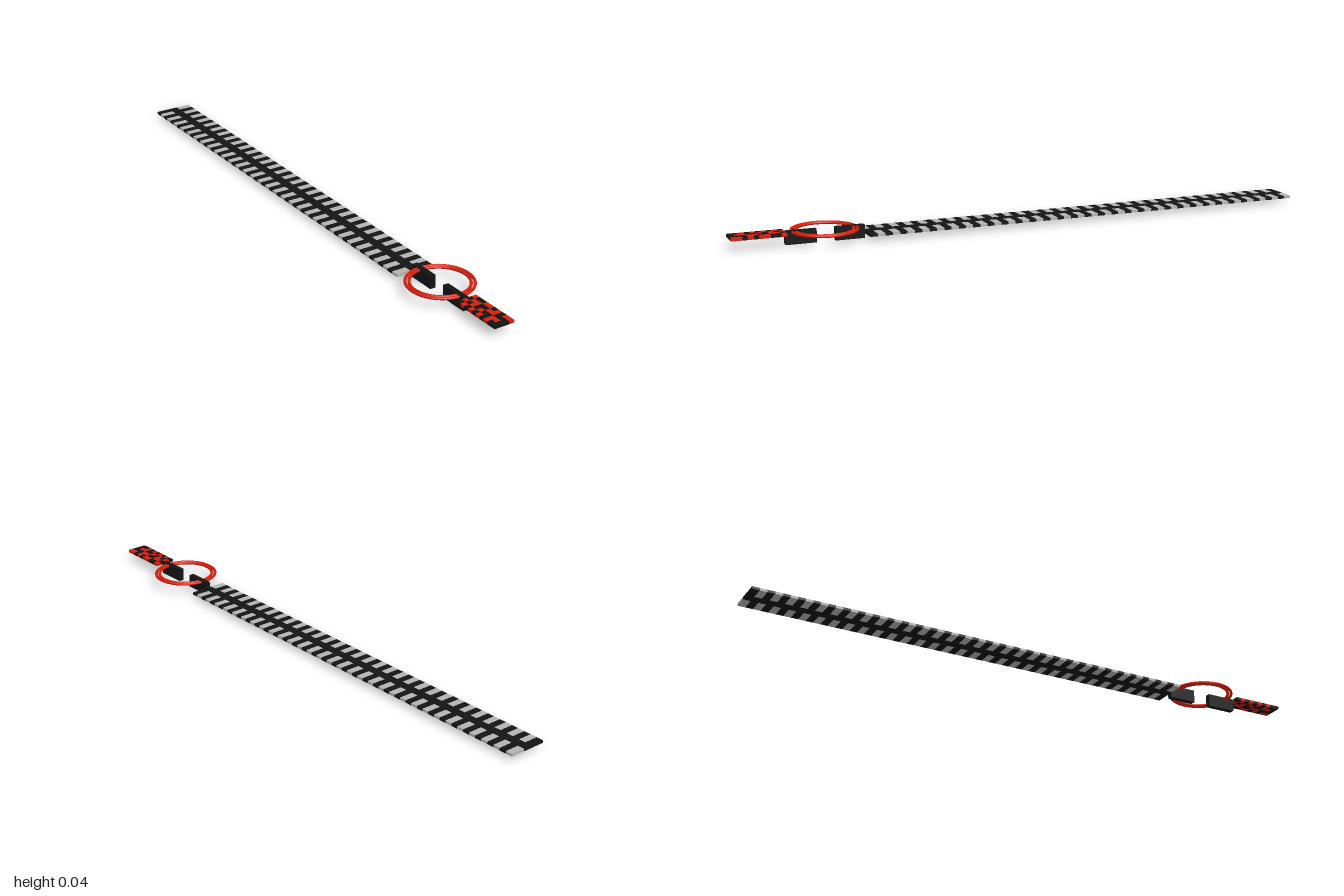
import * as THREE from 'three';

const BLACK = new THREE.MeshStandardMaterial({ color: 0x141414 });
const RED = new THREE.MeshStandardMaterial({ color: 0xd81e0c });
const SILVER = new THREE.MeshStandardMaterial({ color: 0xb4b4b4 });

// Box given by its minimum and maximum on each axis
function box(name, material, [x0, x1], [y0, y1], [z0, z1]) {
  const mesh = new THREE.Mesh(new THREE.BoxGeometry(x1 - x0, y1 - y0, z1 - z0), material);
  mesh.position.set((x0 + x1) / 2, (y0 + y1) / 2, (z0 + z1) / 2);
  mesh.name = name;
  return mesh;
}

// Flat blade: black spine with staggered silver and black segments on both edges
function createBlade() {
  const blade = new THREE.Group();
  blade.name = 'blade';
  const y = [0.015, 0.0235], zBack = -1, zFront = 0.558;
  const count = 62, step = (zFront - zBack) / count;
  blade.add(box('bladeSpine', BLACK, [-0.016, 0.016], y, [zBack, zFront]));
  for (let i = 0; i < count; i++) {
    const z = [zBack + i * step, zBack + (i + 1) * step];
    const odd = i % 2 === 1;
    blade.add(box('leftEdgeSegment', odd ? BLACK : SILVER, [0.016, 0.066], y, z));
    blade.add(box('rightEdgeSegment', odd ? SILVER : BLACK, [-0.066, -0.016], y, z));
  }
  return blade;
}

// Two concentric red hoops
function createGuard() {
  const guard = new THREE.Group();
  guard.name = 'ringGuard';
  for (const [name, radius] of [['outerRing', 0.1065], ['innerRing', 0.0945]]) {
    const ring = new THREE.Mesh(new THREE.TorusGeometry(radius, 0.0048, 12, 64), RED);
    ring.rotation.x = Math.PI / 2;
    ring.position.set(0, 0.039, 0.69);
    ring.name = name;
    guard.add(ring);
  }
  return guard;
}

// Flat grip made of black and red cells
function createGrip() {
  const grip = new THREE.Group();
  grip.name = 'grip';
  const rows = ['0101', '1010', '0110', '1001', '0101', '1010', '0011', '1100', '0101', '0001'];
  const cell = 0.018;
  rows.forEach((row, j) => {
    [...row].forEach((c, i) => {
      const x = -0.036 + i * cell, z = 0.82 + j * cell;
      grip.add(box('gripCell', c === '1' ? RED : BLACK, [x, x + cell], [0.034, 0.0435], [z, z + cell]));
    });
  });
  return grip;
}

export function createModel() {
  const model = new THREE.Group();
  model.name = 'sword';
  model.add(createBlade(), createGuard(), createGrip());
  // Upright connectors on either side of the ring
  model.add(box('bladeConnector', BLACK, [-0.0095, 0.0095], [0, 0.044], [0.558, 0.655]));
  model.add(box('gripConnector', BLACK, [-0.0095, 0.0095], [0, 0.044], [0.718, 0.82]));
  return model;
}
